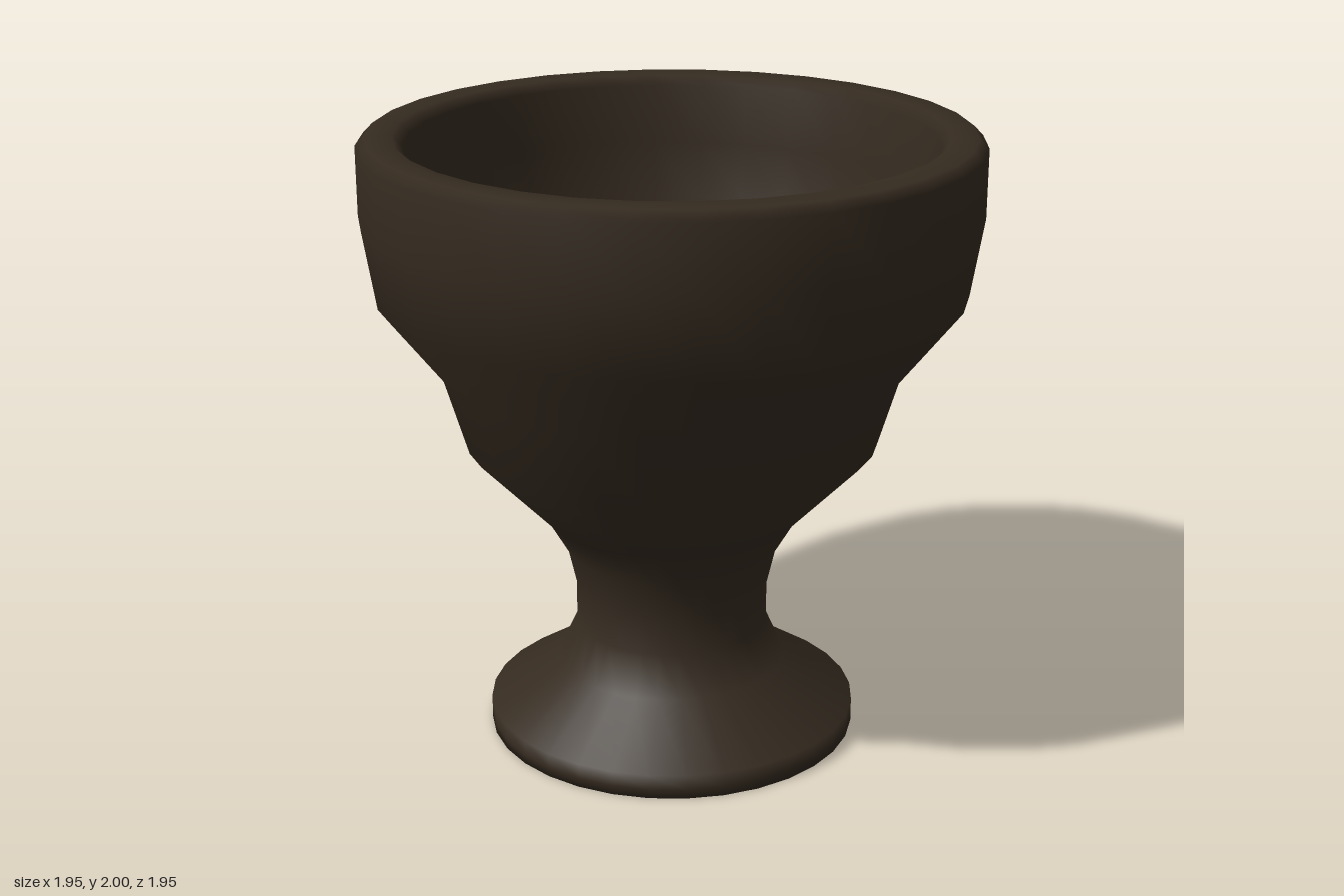
import * as THREE from 'three';

const SIDES = 32;

export function createModel() {
  const darkWood = new THREE.MeshStandardMaterial({ color: 0x352b20 });
  darkWood.name = 'dark wood';

  // Profile as [radius, height], from the underside up and over into the bowl
  const foot = [[0, 0], [0.605, 0], [0.605, 0.03], [0.605, 0.08], [0.375, 0.23]];
  const stem = [[0.315, 0.36], [0.315, 0.49], [0.345, 0.62], [0.415, 0.74]];
  // Stepped cup wall and softened rim
  const cup = [[0.665, 1.0], [0.74, 1.25], [0.935, 1.5], [0.975, 1.75], [0.975, 1.97]];
  const rim = [[0.945, 2.0], [0.86, 2.0]];

  // Deep rounded hollow, running from the rim down to the axis
  const hollow = [];
  const steps = 10;
  for (let i = 0; i <= steps; i++) {
    const a = (i / steps) * Math.PI / 2;
    hollow.push([i === steps ? 0 : 0.83 * Math.cos(a), 1.97 - 1.25 * Math.sin(a)]);
  }

  const points = [...foot, ...stem, ...cup, ...rim, ...hollow]
    .map(([r, y]) => new THREE.Vector2(r, y));
  const goblet = new THREE.Mesh(new THREE.LatheGeometry(points, SIDES), darkWood);
  goblet.name = 'gobletBody';

  const group = new THREE.Group();
  group.name = 'goblet';
  group.add(goblet);
  return group;
}
